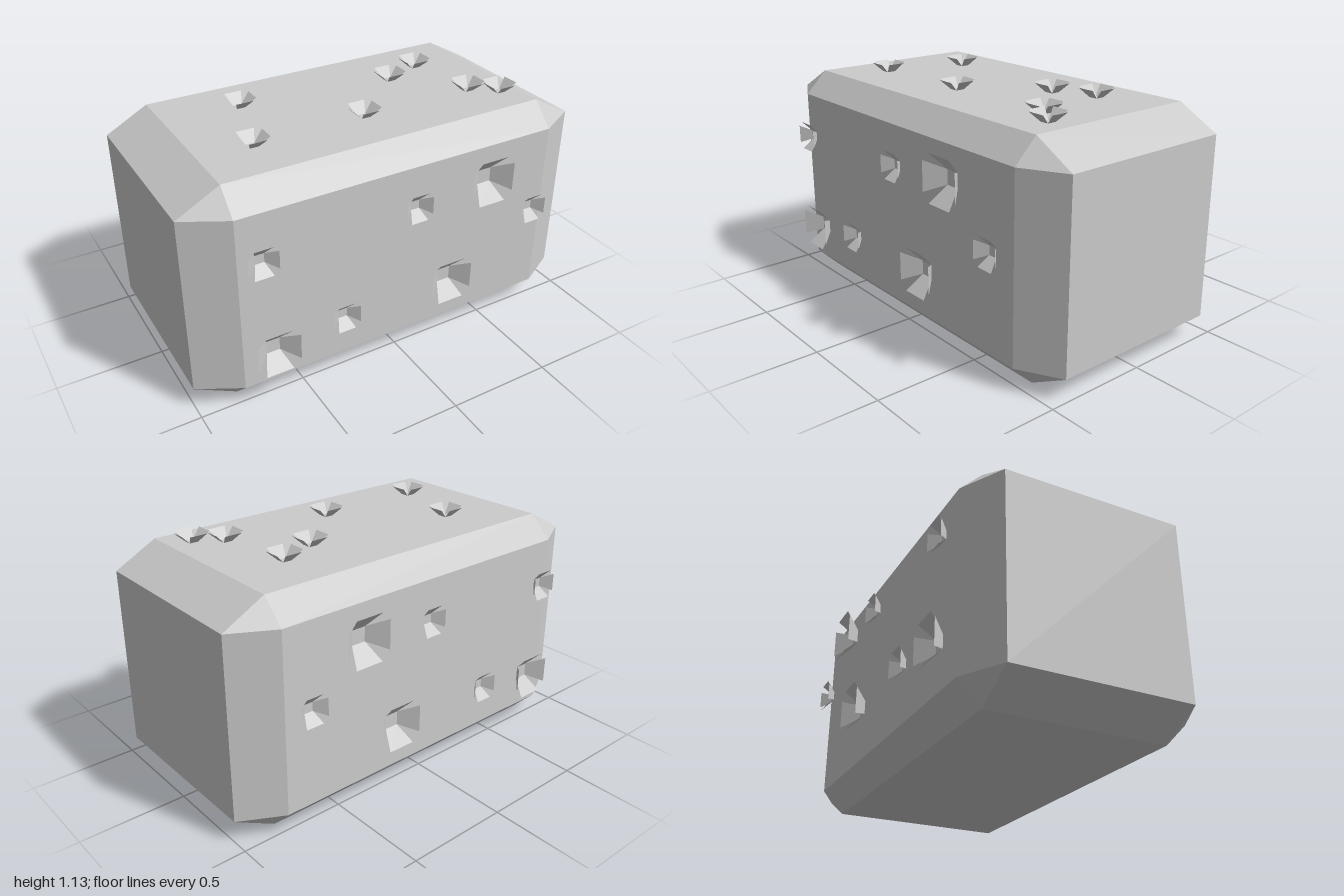
import * as THREE from 'three';
import { ConvexGeometry } from 'three/addons/geometries/ConvexGeometry.js';

const HX = 1, HY = 0.539, HZ = 0.538;            // half sizes of the block
const BX = 0.2, BY = 0.108, BZ = 0.108;          // bevel set-back on each axis

// Block with every edge bevelled and every corner cut
function blockGeometry() {
  const points = [];
  for (const x of [-1, 1]) for (const y of [-1, 1]) for (const z of [-1, 1]) {
    points.push(
      new THREE.Vector3(x * HX, y * (HY - BY), z * (HZ - BZ)),
      new THREE.Vector3(x * (HX - BX), y * HY, z * (HZ - BZ)),
      new THREE.Vector3(x * (HX - BX), y * (HY - BY), z * HZ));
  }
  return new ConvexGeometry(points);
}

// Unit stud opening along +z: a small square with four flaps flaring outwards
function studGeometry() {
  const inner = 0.31, outer = 0.63, depth = 0.33;
  const pos = [];
  const quad = (a, b, c, d) => pos.push(...a, ...b, ...c, ...a, ...c, ...d);
  quad([-inner, -inner, -depth], [inner, -inner, -depth], [inner, inner, -depth], [-inner, inner, -depth]);
  for (let i = 0; i < 4; i++) {
    const c = Math.round(Math.cos(i * Math.PI / 2)), s = Math.round(Math.sin(i * Math.PI / 2));
    const turn = (x, y, z) => [x * c - y * s, x * s + y * c, z];
    quad(turn(-inner, inner, -depth), turn(inner, inner, -depth), turn(outer, 1, depth), turn(-outer, 1, depth));
  }
  const g = new THREE.BufferGeometry();
  g.setAttribute('position', new THREE.Float32BufferAttribute(pos, 3));
  g.computeVertexNormals();
  return g;
}

export function createModel() {
  const model = new THREE.Group();
  const solid = new THREE.MeshStandardMaterial({ color: 0xcccccc, flatShading: true });
  const sheet = new THREE.MeshStandardMaterial({ color: 0xcccccc, flatShading: true, side: THREE.DoubleSide });

  const block = new THREE.Mesh(blockGeometry(), solid);
  block.name = 'block';
  block.position.y = HY;
  model.add(block);

  const studGeo = studGeometry();
  const addStud = (parent, name, x, y, z, size) => {
    const stud = new THREE.Mesh(studGeo, sheet);
    stud.name = name;
    stud.position.set(x, y, z);
    stud.scale.setScalar(size);
    parent.add(stud);
    return stud;
  };

  // Studs on the front, mirrored on the back: x, y, size
  const sideStuds = [
    [-0.71, 0.775, 0.069], [-0.665, 0.3, 0.103], [-0.325, 0.35, 0.068], [0.04, 0.8, 0.067],
    [0.23, 0.355, 0.107], [0.425, 0.83, 0.111], [0.7, 0.6, 0.068]];
  const front = new THREE.Group(), back = new THREE.Group(), top = new THREE.Group();
  front.name = 'frontStuds';
  back.name = 'backStuds';
  top.name = 'topStuds';
  for (const [x, y, size] of sideStuds) {
    addStud(front, 'frontStud', x, y, 0.584, size);
    addStud(back, 'backStud', x, y, -0.584, size).rotation.y = Math.PI;
  }

  // Studs on the top: x, z
  const topStuds = [
    [-0.44, -0.185], [-0.555, 0.2], [0, 0.19], [0.325, -0.105], [0.525, -0.185], [0.58, 0.185], [0.7, 0.275]];
  for (const [x, z] of topStuds) addStud(top, 'topStud', x, 1.105, z, 0.068).rotation.x = -Math.PI / 2;

  model.add(front, back, top);
  return model;
}
